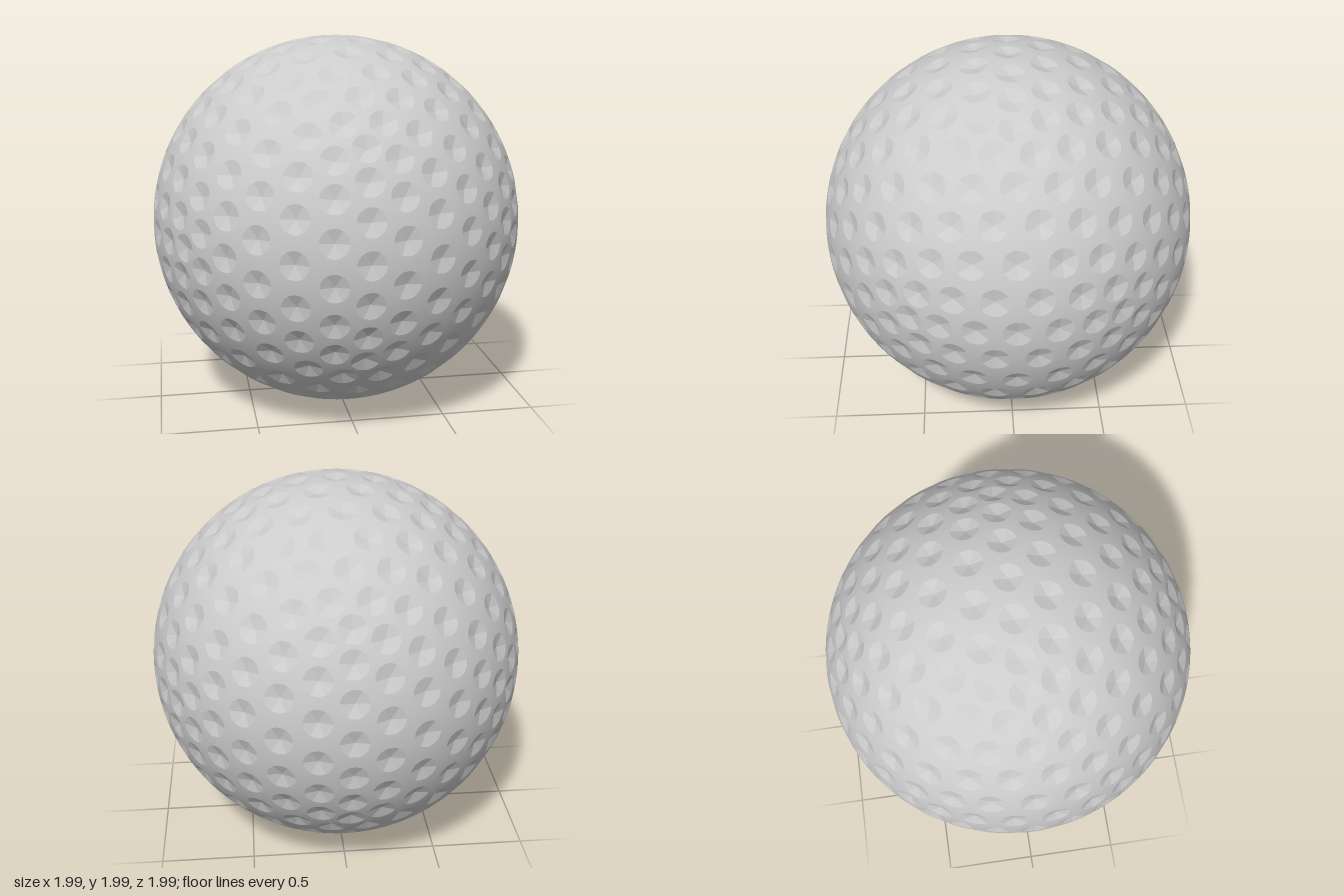
import * as THREE from 'three';
import { mergeVertices } from 'three/addons/utils/BufferGeometryUtils.js';

const DIMPLE_RADIUS = 0.072;  // angular size of each dimple's rim
const DIMPLE_DEPTH = 0.021;   // how far its centre sinks below the sphere
const STEPS = 3;              // rim segments per half facet

export function createModel() {
  // Dimple centres are the points of a subdivided icosahedron
  const lattice = new THREE.IcosahedronGeometry(1, 5);
  const source = lattice.attributes.position;
  const positions = [], normals = [];

  const addTriangle = (points, pointNormals) => {
    points.forEach((p, i) => {
      positions.push(p.x, p.y, p.z);
      normals.push(pointNormals[i].x, pointNormals[i].y, pointNormals[i].z);
    });
  };

  // Point on the rim of the dimple at centre, in the direction of target
  const tangent = (centre, target) =>
    target.clone().addScaledVector(centre, -target.dot(centre)).normalize();
  const rimPoint = (centre, target) => centre.clone()
    .multiplyScalar(Math.cos(DIMPLE_RADIUS))
    .addScaledVector(tangent(centre, target), Math.sin(DIMPLE_RADIUS));

  // Half of one flat dimple facet (facing neighbour) plus the skin around it
  const addHalfFacet = (centre, neighbour, from, to) => {
    const apex = centre.clone().multiplyScalar(1 - DIMPLE_DEPTH);
    const slope = (DIMPLE_DEPTH - DIMPLE_RADIUS ** 2 / 2) / DIMPLE_RADIUS;
    const facet = centre.clone().addScaledVector(tangent(centre, neighbour), -slope).normalize();
    for (let i = 0; i < STEPS; i++) {
      const outA = from.clone().lerp(to, i / STEPS).normalize();
      const outB = from.clone().lerp(to, (i + 1) / STEPS).normalize();
      const rimA = rimPoint(centre, outA), rimB = rimPoint(centre, outB);
      addTriangle([apex, rimA, rimB], [facet, facet, facet]);
      addTriangle([rimA, outA, outB], [rimA, outA, outB]);
      addTriangle([rimA, outB, rimB], [rimA, outB, rimB]);
    }
  };

  // Each lattice triangle holds a sector of the dimples at its three corners
  for (let i = 0; i < source.count; i += 3) {
    const corners = [0, 1, 2].map(k => new THREE.Vector3().fromBufferAttribute(source, i + k).normalize());
    const middle = corners[0].clone().add(corners[1]).add(corners[2]).normalize();
    for (let k = 0; k < 3; k++) {
      const centre = corners[k], next = corners[(k + 1) % 3], last = corners[(k + 2) % 3];
      addHalfFacet(centre, next, centre.clone().add(next).normalize(), middle);
      addHalfFacet(centre, last, middle, centre.clone().add(last).normalize());
    }
  }

  const geometry = new THREE.BufferGeometry();
  geometry.setAttribute('position', new THREE.Float32BufferAttribute(positions, 3));
  geometry.setAttribute('normal', new THREE.Float32BufferAttribute(normals, 3));

  const ball = new THREE.Mesh(mergeVertices(geometry), new THREE.MeshStandardMaterial({ color: 0xcccccc }));
  ball.name = 'dimpledBall';
  ball.position.y = 1;

  const group = new THREE.Group();
  group.name = 'golfBall';
  group.add(ball);
  return group;
}
